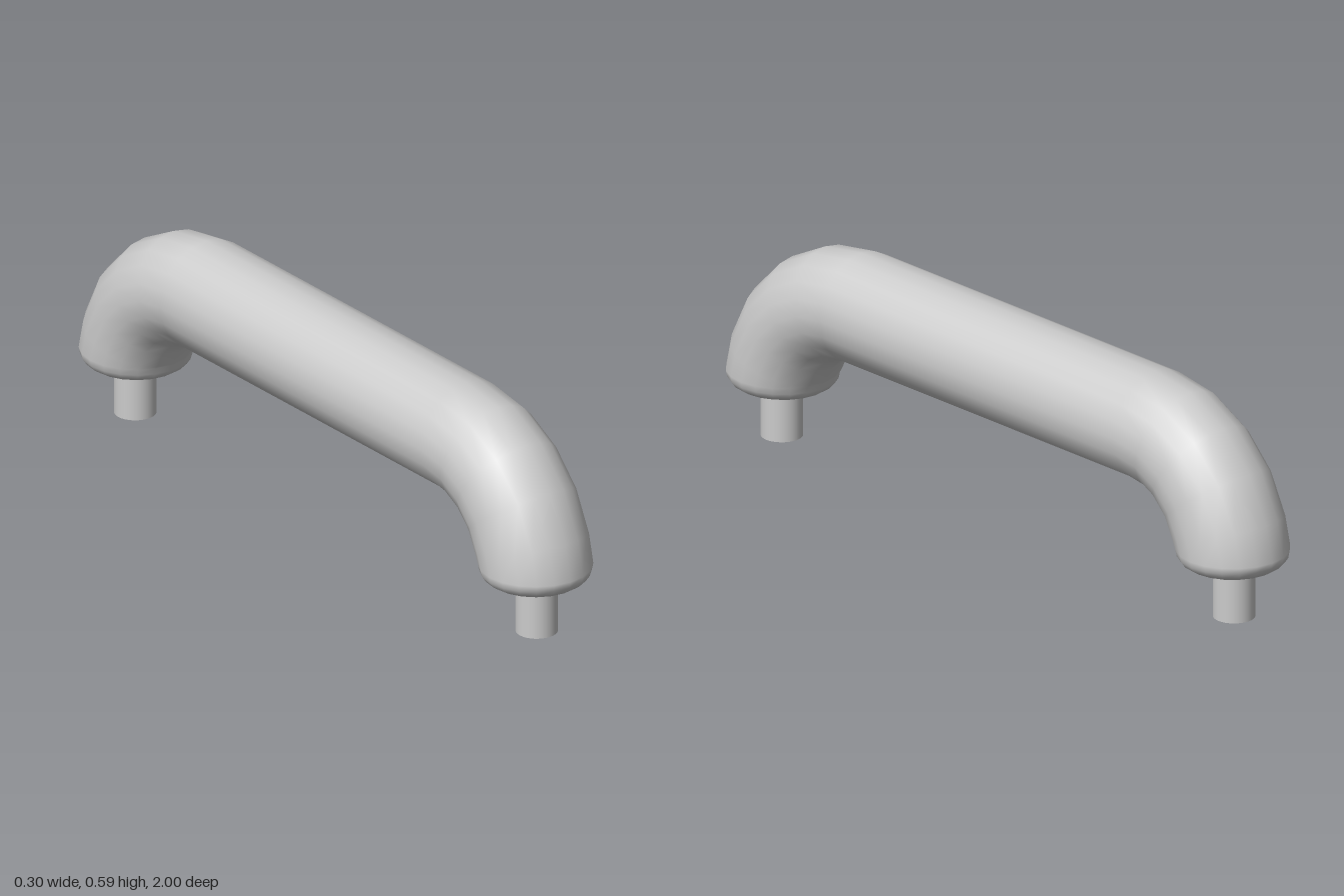
import * as THREE from 'three';

const SIDES = 20, R = 0.149;              // grip cross-section
const BEND = 0.297, BEND_Z = 0.555, BEND_Y = 0.146; // corner arcs
const FOOT_Z = BEND_Z + BEND, FOOT_Y = 0.142, FILLET = 0.045;

// Cross-sections of one half, from the centre bar out to the closed foot
function halfSections(side) {
  const list = [];
  for (let i = 0; i <= 4; i++) {
    const a = i * Math.PI / 10;
    list.push({ a: side * a, z: side * (BEND_Z + BEND * Math.sin(a)), y: BEND_Y + BEND * Math.cos(a), r: R });
  }
  // rounded rim of the foot, then its flat underside
  for (let i = 0; i <= 4; i++) {
    const t = i * Math.PI / 8;
    list.push({
      a: side * Math.PI / 2, z: side * FOOT_Z,
      y: FOOT_Y + FILLET * (1 - Math.sin(t)), r: R - FILLET * (1 - Math.cos(t)),
    });
  }
  list.push({ a: side * Math.PI / 2, z: side * FOOT_Z, y: FOOT_Y, r: 0.08 });
  list.push({ a: side * Math.PI / 2, z: side * FOOT_Z, y: FOOT_Y, r: 0 });
  return list;
}

// Skin the sections into one smooth closed surface
function gripGeometry() {
  const sections = [...halfSections(-1).reverse(), ...halfSections(1)];
  const pos = [], index = [];
  sections.forEach(({ a, z, y, r }, i) => {
    for (let j = 0; j < SIDES; j++) {
      const p = j / SIDES * Math.PI * 2, v = r * Math.sin(p);
      pos.push(r * Math.cos(p), y + v * Math.cos(a), z + v * Math.sin(a));
      if (i === sections.length - 1) continue;
      const k = (j + 1) % SIDES, b = i * SIDES, c = b + SIDES;
      index.push(b + j, b + k, c + k, b + j, c + k, c + j);
    }
  });
  const g = new THREE.BufferGeometry();
  g.setAttribute('position', new THREE.Float32BufferAttribute(pos, 3));
  g.setIndex(index);
  g.computeVertexNormals();
  return g;
}

export function createModel() {
  const group = new THREE.Group();
  group.name = 'pullHandle';
  const material = new THREE.MeshStandardMaterial({ color: 0xcccccc });

  const grip = new THREE.Mesh(gripGeometry(), material);
  grip.name = 'grip';
  group.add(grip);

  // Mounting pins under each foot
  const pinGeometry = new THREE.CylinderGeometry(0.055, 0.055, 0.15, 32);
  for (const side of [1, -1]) {
    const pin = new THREE.Mesh(pinGeometry, material);
    pin.name = side > 0 ? 'frontPin' : 'backPin';
    pin.position.set(0, 0.075, side * 0.857);
    group.add(pin);
  }
  return group;
}
